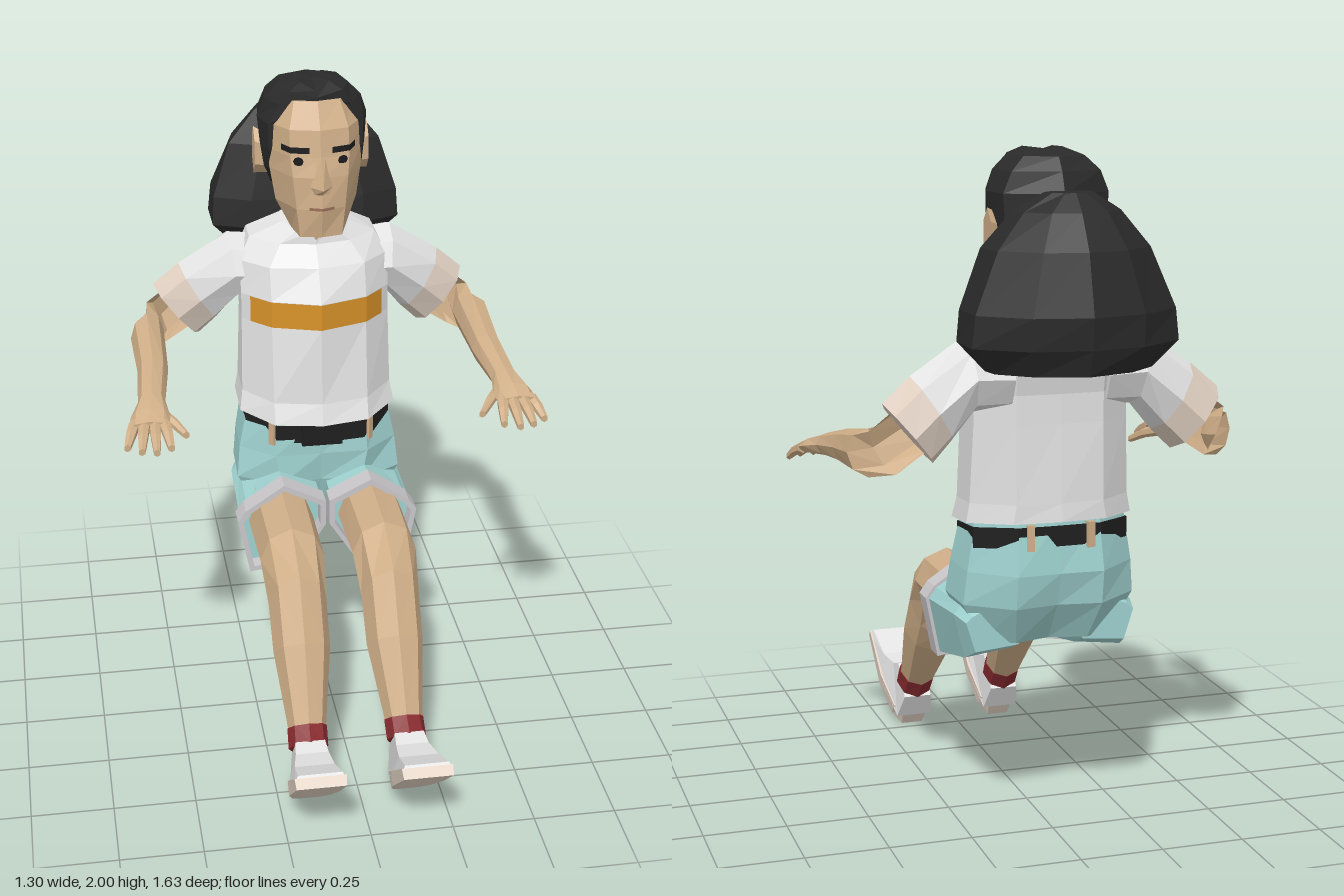
import * as THREE from 'three';

const mat = (name, color) => {
  const m = new THREE.MeshStandardMaterial({ color });
  m.name = name;
  return m;
};

// Skin a list of equal-length rings with flat facets; closed bodies are turned outward.
function loft(rings, { closed = true, caps = true } = {}) {
  const tris = [], n = rings[0].length, quads = closed ? n : n - 1;
  for (let i = 0; i < rings.length - 1; i++) {
    for (let j = 0; j < quads; j++) {
      const k = (j + 1) % n;
      const [a, b, c, d] = [rings[i][j], rings[i][k], rings[i + 1][k], rings[i + 1][j]];
      tris.push([a, b, c], [a, c, d]);
    }
  }
  if (closed && caps) {
    const mid = (r) => [0, 1, 2].map((q) => r.reduce((t, p) => t + p[q], 0) / n);
    const lo = rings[0], hi = rings[rings.length - 1], ml = mid(lo), mh = mid(hi);
    for (let j = 0; j < n; j++) {
      const k = (j + 1) % n;
      tris.push([ml, lo[k], lo[j]], [mh, hi[j], hi[k]]);
    }
  }
  if (closed) {
    const vol = tris.reduce((t, [a, b, c]) => t + a[0] * (b[1] * c[2] - b[2] * c[1])
      + a[1] * (b[2] * c[0] - b[0] * c[2]) + a[2] * (b[0] * c[1] - b[1] * c[0]), 0);
    if (vol < 0) tris.forEach((t) => t.reverse());
  }
  const g = new THREE.BufferGeometry();
  g.setAttribute('position', new THREE.Float32BufferAttribute(tris.flat(2), 3));
  g.computeVertexNormals();
  return g;
}

// Mirrored horizontal ring: half outline of [x, z, dy] from front centre to back centre.
function sym(y, half, tilt = 0) {
  const right = half.map(([x, z, dy = 0]) => [x, y + dy - tilt * (z + 0.2), z]);
  const left = right.slice(1, -1).reverse().map(([x, yy, z]) => [-x, yy, z]);
  return [...right, ...left];
}

// Open band across the front: half outline of [x, z], drawn from -x to +x.
const band = (y0, y1, half, out = 0.004) => loft([y0, y1].map((y) => {
  const r = half.map(([x, z]) => [x, y, z + out]);
  return [...r.slice(1).reverse().map(([x, yy, z]) => [-x, yy, z]), ...r];
}), { closed: false });

// Elliptical tube from sections of centre c and half axes u, v.
const tube = (secs, n, s = 1) => loft(secs.map(([c, u, v]) => Array.from({ length: n }, (_, k) => {
  const a = Math.PI / 2 + (2 * Math.PI * k) / n;
  return [0, 1, 2].map((q) => (c[q] + u[q] * Math.cos(a) + v[q] * Math.sin(a)) * (q ? 1 : s));
})));

// Leg section from its front/top and back/bottom points in the side plane.
const cut = (x, hx, tz, ty, bz, by) =>
  [[x, (ty + by) / 2, (tz + bz) / 2], [hx, 0, 0], [0, (ty - by) / 2, (tz - bz) / 2]];

export function createModel() {
  const skin = mat('skin', 0xcfae88), hair = mat('hair', 0x2a2a2b), white = mat('white cloth', 0xe2e2e2);
  const cream = mat('cream trim', 0xe0d0c2), teal = mat('shorts teal', 0x9fd2d0), grey = mat('cuff grey', 0xcac7ca);
  const black = mat('black', 0x1f1f20), mustard = mat('mustard', 0xd8922a);
  const red = mat('sock red', 0x8a2c30), lip = mat('lip', 0x9a705a);
  const model = new THREE.Group();
  model.name = 'seatedPerson';
  const add = (name, geo, m) => {
    const mesh = new THREE.Mesh(geo, m);
    mesh.name = name;
    model.add(mesh);
    return mesh;
  };

  // Shirt body, collar and chest stripe
  const chest = [[0, -0.2], [0.15, -0.25], [0.235, -0.34], [0.23, -0.46], [0.13, -0.545], [0, -0.55]];
  add('shirt', loft([
    sym(0.92, [[0, -0.165], [0.15, -0.19], [0.25, -0.3], [0.25, -0.45], [0.14, -0.55], [0, -0.565]], 0.09),
    sym(0.985, [[0, -0.185], [0.15, -0.215], [0.24, -0.32], [0.24, -0.45], [0.13, -0.55], [0, -0.56]], 0.06),
    sym(1.235, chest), sym(1.32, chest),
    sym(1.42, [[0, -0.255], [0.15, -0.285], [0.235, -0.37], [0.235, -0.47], [0.13, -0.565], [0, -0.57]]),
    sym(1.475, [[0, -0.31], [0.11, -0.33], [0.2, -0.4], [0.2, -0.49], [0.1, -0.55], [0, -0.55]], 0.05),
    sym(1.505, [[0, -0.315], [0.05, -0.33], [0.1, -0.38], [0.1, -0.44], [0.05, -0.49], [0, -0.5]], 0.18),
  ]), white);
  add('chestStripe', band(1.235, 1.32, [[0, -0.2], [0.15, -0.25], [0.21, -0.313]]), mustard);

  // Neck and head
  add('neck', tube([
    [[0, 1.45, -0.4], [0.08, 0, 0], [0, 0, 0.085]], [[0, 1.64, -0.385], [0.075, 0, 0], [0, 0, 0.085]]], 8), skin);
  add('head', loft([
    sym(1.55, [[0, -0.19], [0.065, -0.205], [0.08, -0.29], [0.05, -0.36], [0, -0.38]]),
    sym(1.64, [[0, -0.175], [0.075, -0.205], [0.126, -0.31], [0.11, -0.42], [0, -0.48]]),
    sym(1.74, [[0, -0.185], [0.085, -0.21], [0.142, -0.32], [0.14, -0.44], [0, -0.53]]),
    sym(1.8, [[0, -0.203], [0.09, -0.225], [0.144, -0.32], [0.14, -0.45], [0, -0.54]]),
    sym(1.88, [[0, -0.217], [0.09, -0.24], [0.145, -0.33], [0.14, -0.45], [0, -0.54]]),
    sym(1.955, [[0, -0.265], [0.07, -0.285], [0.11, -0.36], [0.1, -0.45], [0, -0.52]]),
  ]), skin);
  add('nose', loft([
    sym(1.69, [[0, -0.175], [0.022, -0.185], [0, -0.22]]),
    sym(1.712, [[0, -0.15], [0.033, -0.19], [0, -0.22]]),
    sym(1.8, [[0, -0.198], [0.014, -0.207], [0, -0.23]]),
  ]), skin);
  add('mouth', band(1.64, 1.649, [[0, -0.175], [0.038, -0.19]]), lip);

  // Swept-back hair with a centre parting, and the big ponytail
  add('hairCap', loft([
    sym(1.64, [[0, -0.45], [0.1, -0.45], [0.12, -0.47], [0.1, -0.53], [0, -0.55]]),
    sym(1.73, [[0, -0.34], [0.14, -0.33], [0.153, -0.37], [0.14, -0.5], [0, -0.56]]),
    sym(1.8, [[0, -0.31], [0.146, -0.305], [0.163, -0.38], [0.15, -0.5], [0, -0.57]]),
    sym(1.88, [[0, -0.3], [0.146, -0.305], [0.17, -0.39], [0.155, -0.5], [0, -0.575]]),
    sym(1.94, [[0, -0.275], [0.11, -0.3], [0.15, -0.38], [0.13, -0.5], [0, -0.55]]),
    sym(1.98, [[0, -0.275, -0.015], [0.08, -0.295], [0.11, -0.38], [0.09, -0.48], [0, -0.52]]),
    sym(2, [[0, -0.31, -0.025], [0.045, -0.33], [0.055, -0.39], [0.04, -0.44], [0, -0.46, -0.01]]),
  ]), hair);
  add('ponytail', loft([
    sym(1.385, [[0, -0.53], [0.14, -0.53], [0.23, -0.57, 0.015], [0.23, -0.66, 0.02], [0.14, -0.74, 0.02], [0, -0.785, 0.02]]),
    sym(1.48, [[0, -0.478], [0.18, -0.48], [0.3, -0.53], [0.3, -0.68], [0.16, -0.78], [0, -0.81]]),
    sym(1.57, [[0, -0.49], [0.18, -0.49], [0.295, -0.54], [0.29, -0.68], [0.16, -0.785], [0, -0.82]]),
    sym(1.74, [[0, -0.52], [0.14, -0.52], [0.24, -0.56], [0.22, -0.66], [0.12, -0.75], [0, -0.775]]),
    sym(1.84, [[0, -0.55], [0.09, -0.55], [0.155, -0.58], [0.14, -0.64], [0.08, -0.7], [0, -0.715]]),
    sym(1.89, [[0, -0.58], [0.05, -0.58], [0.07, -0.6], [0.06, -0.64], [0.03, -0.66], [0, -0.665]]),
  ]), hair);

  // Shorts seat, belt and buckle
  const waist = [[0, -0.2], [0.14, -0.215], [0.225, -0.31], [0.225, -0.46], [0.12, -0.545], [0, -0.55]];
  const beltLine = waist.map(([x, z]) => [x * 1.04, z + (z > -0.4 ? 0.006 : -0.006)]);
  add('shortsSeat', loft([
    sym(0.58, [[0, -0.26], [0.1, -0.24], [0.2, -0.3], [0.2, -0.42], [0.11, -0.48], [0, -0.45]]),
    sym(0.7, [[0, -0.22], [0.13, -0.2], [0.265, -0.28], [0.26, -0.45], [0.13, -0.55], [0, -0.53]]),
    sym(0.8, [[0, -0.205], [0.15, -0.205], [0.255, -0.3], [0.25, -0.46], [0.13, -0.565], [0, -0.56]]),
    sym(0.935, waist, 0.08),
  ]), teal);
  add('belt', loft([sym(0.845, beltLine, 0.1), sym(0.905, beltLine, 0.1)]), black);
  add('buckle', new THREE.BoxGeometry(0.13, 0.072, 0.02), black).position.set(0, 0.875, -0.197);

  for (const s of [1, -1]) {
    const side = s > 0 ? 'left' : 'right';
    const put = (name, geo, m) => add(side + name, geo, m);

    // Eye, brow and ear
    const eye = put('Eye', new THREE.CircleGeometry(0.016, 8), black);
    eye.position.set(0.068 * s, 1.789, -0.211);
    eye.rotation.set(0.2, 0.25 * s, 0, 'YXZ');
    const brow = [[0.035, -0.21], [0.09, -0.226], [0.113, -0.268]].map(([x, z]) => [x * s, z + 0.005]);
    if (s < 0) brow.reverse();
    put('Brow', loft([1.813, 1.832].map((y) => brow.map(([x, z]) => [x, y, z])), { closed: false }), black);
    put('Ear', tube([
      [[0.13, 1.755, -0.4], [0, 0, 0.03], [0, 0.06, 0]],
      [[0.178, 1.762, -0.425], [0, 0, 0.04], [0, 0.075, 0]]], 6, s), skin);

    // Sleeve with cream end band
    const sleeve = [
      [[0.14, 1.37, -0.46], [0, 0, 0.115], [0, 0.1, 0]],
      [[0.25, 1.375, -0.46], [0, 0, 0.118], [0.01, 0.108, 0]],
      [[0.36, 1.285, -0.475], [0, 0, 0.1], [0.06, 0.095, 0]],
      [[0.43, 1.22, -0.487], [0, 0, 0.09], [0.072, 0.088, 0]]];
    put('Sleeve', tube(sleeve.slice(0, 3), 8, s), white);
    put('SleeveBand', tube(sleeve.slice(2), 8, s), cream);

    // Arm bent forward, palm and fingers
    put('Arm', tube([
      [[0.41, 1.235, -0.485], [0, 0, 0.065], [0.05, 0.06, 0]],
      [[0.495, 1.175, -0.487], [0.02, 0, 0.06], [0.03, 0.07, 0]],
      [[0.53, 1.16, -0.43], [0.055, 0, 0.03], [0, 0.07, 0]],
      [[0.532, 1.135, -0.2], [0.048, 0, 0], [0, 0.053, 0]],
      [[0.55, 1.11, -0.03], [0.042, 0, 0], [0, 0.036, 0]],
      [[0.56, 1.095, 0.04], [0.06, 0, 0], [0, 0.03, 0]],
      [[0.567, 1.082, 0.09], [0.062, 0, 0], [0, 0.02, 0]]], 8, s), skin);
    [[0.52, 0.08, 0.508, 0.163], [0.55, 0.08, 0.553, 0.187], [0.582, 0.08, 0.597, 0.175],
      [0.61, 0.07, 0.638, 0.143], [0.525, 0, 0.457, 0.083]].forEach(([x0, z0, x1, z1], i) => {
      put('Finger' + (i + 1), tube([
        [[x0, 1.085, z0], [0.019, 0, 0], [0, 0.019, 0]],
        [[(x0 + x1) / 2, 1.07, (z0 + z1) / 2], [0.017, 0, 0], [0, 0.016, 0]],
        [[x1, 1.045, z1], [0.011, 0, 0], [0, 0.012, 0]]], 6, s), skin);
    });

    // Shorts leg and hollow turned-up cuff
    const hem = [[0.01, 0.69], [0.14, 0.755], [0.26, 0.675], [0.285, 0.64], [0.25, 0.46], [0.09, 0.485], [0.01, 0.61]];
    const ring = (z, k, ky = k, cy = 0.6) =>
      hem.map(([x, y]) => [s * (0.145 + (x - 0.145) * k), cy + (y - 0.6) * ky, z]);
    put('ShortsLeg', loft([ring(-0.47, 0.8, 0.5, 0.63), ring(-0.4, 0.92, 0.75, 0.63), ring(-0.13, 0.96)]), teal);
    put('Cuff', loft([ring(-0.15, 1.03), ring(-0.078, 1.03), ring(-0.078, 0.9), ring(-0.15, 0.9), ring(-0.15, 1.03)],
      { caps: false }), grey);

    // Leg, sock and shoe
    put('Leg', tube([
      cut(0.145, 0.105, -0.2, 0.73, -0.2, 0.5), cut(0.145, 0.1, 0.13, 0.72, 0.14, 0.52),
      cut(0.145, 0.09, 0.29, 0.64, 0.2, 0.41), cut(0.145, 0.088, 0.395, 0.47, 0.26, 0.34),
      cut(0.15, 0.058, 0.51, 0.25, 0.425, 0.172)], 8, s), skin);
    put('Sock', tube([
      cut(0.15, 0.061, 0.508, 0.256, 0.422, 0.174), cut(0.152, 0.061, 0.55, 0.218, 0.463, 0.118)], 8, s), red);
    const slab = (x, wt, wb, tz, ty, bz, by) => [[x - wt, ty, tz], [x + wt, ty, tz], [x + wb, by, bz], [x - wb, by, bz]]
      .map(([px, y, z]) => [px * s, y, z]);
    put('Shoe', loft([
      slab(0.152, 0.045, 0.045, 0.545, 0.218, 0.464, 0.122), slab(0.153, 0.05, 0.058, 0.59, 0.206, 0.512, 0.042),
      slab(0.157, 0.06, 0.076, 0.667, 0.217, 0.64, 0.13), slab(0.158, 0.066, 0.075, 0.783, 0.27, 0.795, 0.255)]), white);
    put('Sole', loft([
      slab(0.153, 0.04, 0.035, 0.5, 0.065, 0.54, 0.005), slab(0.154, 0.062, 0.06, 0.535, 0.072, 0.575, 0.035),
      slab(0.157, 0.078, 0.077, 0.64, 0.15, 0.665, 0.113), slab(0.158, 0.077, 0.074, 0.79, 0.265, 0.815, 0.243)]), cream);

    // Belt loops at front and back
    [[0.155, -0.22, 0.85], [0.09, -0.554, 2.95]].forEach(([x, z, turn], i) => {
      const loop = put('BeltLoop' + (i + 1), new THREE.BoxGeometry(0.022, 0.075, 0.02), skin);
      loop.position.set(x * s, 0.875 - 0.1 * (z + 0.2), z);
      loop.rotation.y = turn * s;
    });
  }
  return model;
}
